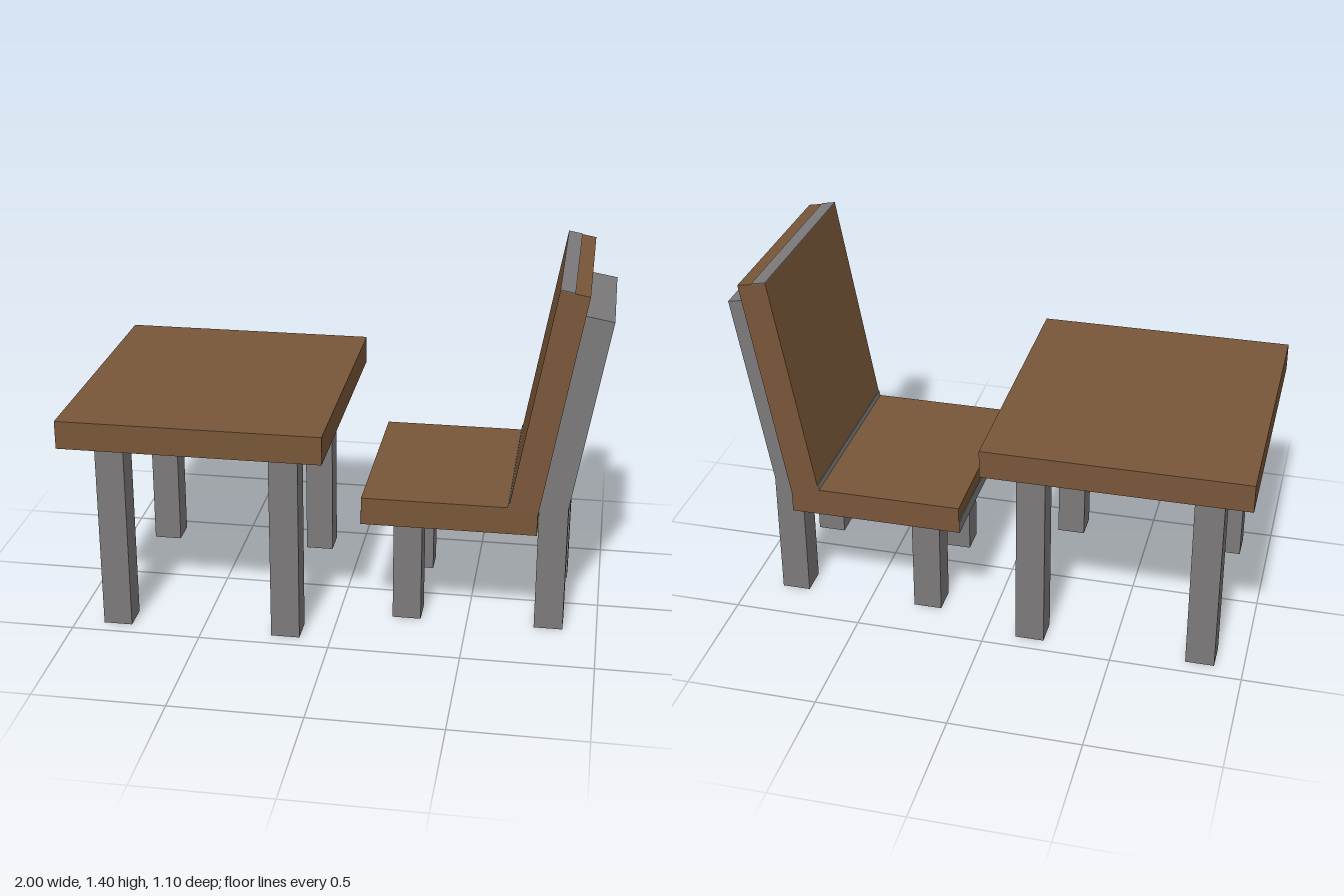
import * as THREE from 'three';

export function createModel() {
  const model = new THREE.Group();
  const wood = new THREE.MeshStandardMaterial({ color: 0x785638 });
  wood.name = 'brown wood';
  const metal = new THREE.MeshStandardMaterial({ color: 0x7b797a });
  metal.name = 'grey metal';

  const add = (parent, name, geometry, material) => {
    const mesh = new THREE.Mesh(geometry, material);
    mesh.name = name;
    parent.add(mesh);
    return mesh;
  };
  // Box given by its limits
  const box = (parent, name, mat, [x0, x1], [y0, y1], [z0, z1]) => {
    const m = add(parent, name, new THREE.BoxGeometry(x1 - x0, y1 - y0, z1 - z0), mat);
    m.position.set((x0 + x1) / 2, (y0 + y1) / 2, (z0 + z1) / 2);
  };
  // Side profile (x, y) stretched from z0 to z1
  const slab = (parent, name, mat, points, z0, z1) => {
    const shape = new THREE.Shape(points.map(p => new THREE.Vector2(...p)));
    const geo = new THREE.ExtrudeGeometry(shape, { depth: z1 - z0, bevelEnabled: false });
    add(parent, name, geo, mat).position.z = z0;
  };
  // Painted patch outlined in (z, y), laid on a rear surface x = surface(y)
  const patch = (parent, name, mat, surface, points) => {
    const shape = new THREE.Shape(points.map(([z, y]) => new THREE.Vector2(-z, y)));
    const geo = new THREE.ShapeGeometry(shape);
    const pos = geo.attributes.position;
    for (let i = 0; i < pos.count; i++) {
      const z = -pos.getX(i), y = pos.getY(i);
      pos.setXYZ(i, surface(y) + 0.003, y, z);
    }
    geo.computeVertexNormals();
    add(parent, name, geo, mat);
  };

  // Table
  const table = new THREE.Group();
  table.name = 'table';
  model.add(table);
  box(table, 'tableTop', wood, [-1, -0.01], [0.772, 0.88], [-0.55, 0.55]);
  for (const x of [-0.89, -0.23])
    for (const z of [-0.44, 0.33])
      box(table, 'tableLeg', metal, [x, x + 0.11], [0, 0.772], [z, z + 0.11]);

  // Chair seat and leaning back in one bent slab
  const chair = new THREE.Group();
  chair.name = 'chair';
  model.add(chair);
  slab(chair, 'seatAndBack', wood, [
    [0.1, 0.445], [0.76, 0.445], [0.76, 0.523], [0.91, 1.38], [0.803, 1.399], [0.652, 0.552], [0.1, 0.552],
  ], -0.44, 0.33);

  // Front legs, and rear legs that bend into the back frame
  const legSpans = [[0.11, 0.22], [-0.33, -0.22]];
  for (const [z0, z1] of legSpans) {
    box(chair, 'frontLeg', metal, [0.21, 0.32], [0, 0.445], [z0, z1]);
    slab(chair, 'rearLeg', metal, [
      [0.76, 0], [0.87, 0], [0.87, 0.51], [1, 1.255], [0.891, 1.274], [0.76, 0.523],
    ], z0, z1);
  }
  slab(chair, 'frameTopRail', metal, [
    [0.982, 1.15], [1, 1.255], [0.891, 1.274], [0.873, 1.169],
  ], -0.22, 0.11);
  slab(chair, 'frameBottomRail', metal, [
    [0.76, 0.447], [0.87, 0.447], [0.87, 0.51], [0.877, 0.55], [0.768, 0.569], [0.76, 0.523],
  ], -0.22, 0.11);
  box(chair, 'railUnderside', wood, [0.76, 0.87], [0.443, 0.447], [-0.22, 0.11]);

  // Painted patches
  const frameRear = y => 0.87 + Math.max(0, y - 0.51) * 0.1745;
  const backRear = y => 0.76 + Math.max(0, y - 0.523) * 0.175;
  patch(chair, 'frameStripe', wood, frameRear, [
    [0.22, 0.51], [0.17, 0.51], [0.17, 1.15], [0.15, 1.2], [0.16, 1.255], [0.22, 1.255],
  ]);
  patch(chair, 'frameStripe', wood, frameRear, [
    [-0.28, 0.51], [-0.33, 0.51], [-0.33, 1.255], [-0.28, 1.255],
  ]);
  patch(chair, 'railPatch', wood, frameRear, [
    [0.11, 0.447], [-0.215, 0.447], [-0.205, 0.48], [-0.18, 0.498], [0.08, 0.498], [0.1, 0.485],
  ]);
  patch(chair, 'backPatch', metal, backRear, [
    [-0.17, 0.78], [-0.18, 0.74], [-0.205, 0.722], [-0.22, 0.722], [-0.22, 1.17], [-0.165, 1.17],
  ]);
  patch(chair, 'cornerPatch', metal, backRear, [
    [0.33, 1.338], [0.305, 1.346], [0.285, 1.378], [0.33, 1.378],
  ]);
  patch(chair, 'seatRearStripe', metal, backRear, [
    [-0.33, 0.498], [-0.44, 0.498], [-0.44, 0.515], [-0.33, 0.515],
  ]);
  // Grey half of the top edge, foot of the back and lower seat edge
  slab(chair, 'topEdgeStripe', metal, [
    [0.803, 1.399], [0.856, 1.3895], [0.8565, 1.3925], [0.8035, 1.402],
  ], -0.44, 0.33);
  slab(chair, 'backFootStripe', metal, [
    [0.649, 0.552], [0.652, 0.552], [0.6555, 0.572], [0.6525, 0.572],
  ], -0.44, 0.33);
  box(chair, 'seatEdgeStripe', metal, [0.097, 0.1], [0.445, 0.495], [-0.44, 0.33]);

  return model;
}
